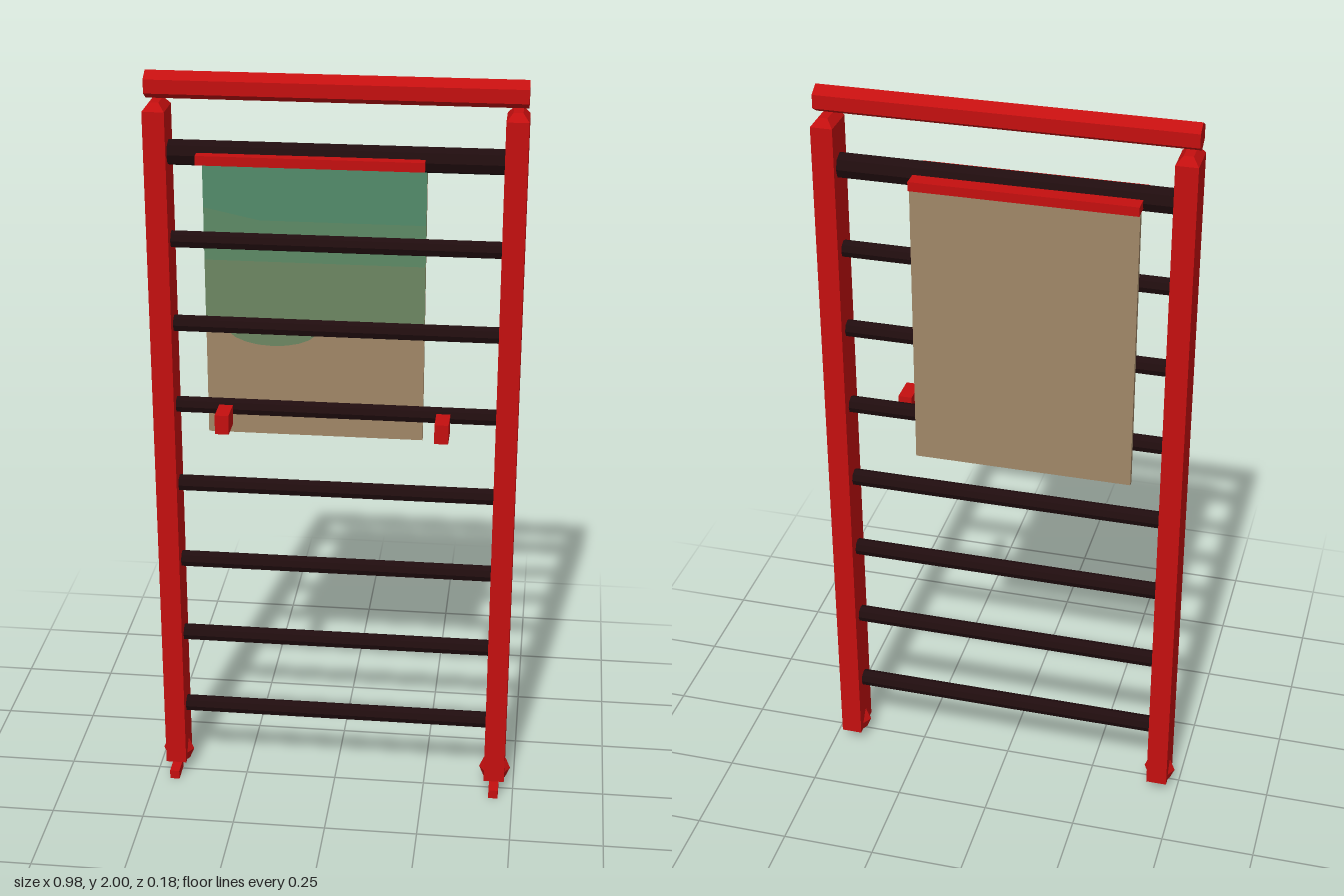
import * as THREE from 'three';

const mat = (name, color, side = THREE.FrontSide) => {
  const m = new THREE.MeshStandardMaterial({ color, side });
  m.name = name;
  return m;
};

export function createModel() {
  const model = new THREE.Group();
  model.name = 'wallBars';
  const red = mat('red', 0xc40f0f);
  const dark = mat('darkBrown', 0x200c0e);
  const tan = mat('tan', 0xa08767);
  const teal = mat('tealGreen', 0x528b6a);
  const mid = mat('leafGreen', 0x5d8a66);
  const olive = mat('oliveGreen', 0x6c8762);
  const Z = -0.022; // shared depth centre of the frame

  const add = (name, geometry, material, x, y, z, parent = model) => {
    const mesh = new THREE.Mesh(geometry, material);
    mesh.name = name;
    mesh.position.set(x, y, z);
    parent.add(mesh);
    return mesh;
  };
  const box = (name, w, h, d, material, x, y, z, parent) =>
    add(name, new THREE.BoxGeometry(w, h, d), material, x, y, z, parent);

  // Horizontal bar with a vertex on top
  const bar = (name, radius, length, sides, material, y) => {
    const g = new THREE.CylinderGeometry(radius, radius, length, sides).toNonIndexed();
    g.rotateY(Math.PI / 2).rotateZ(Math.PI / 2);
    g.computeVertexNormals();
    return add(name, g, material, 0, y, Z);
  };

  // Post with chamfered top: a box whose top ring is pulled inwards
  const postGeometry = () => {
    const g = new THREE.BoxGeometry(0.056, 1.89, 0.095, 1, 2, 1).toNonIndexed();
    const p = g.attributes.position;
    for (let i = 0; i < p.count; i++) {
      const y = p.getY(i);
      if (y > 0.5) {
        p.setX(i, p.getX(i) - Math.sign(p.getX(i)) * 0.016);
        p.setZ(i, p.getZ(i) - Math.sign(p.getZ(i)) * 0.016);
      } else if (Math.abs(y) < 0.1) p.setY(i, 0.925);
    }
    g.computeVertexNormals();
    return g;
  };

  // Side posts with faceted feet and floor tabs
  for (const s of [-1, 1]) {
    const side = new THREE.Group();
    side.name = s > 0 ? 'leftPost' : 'rightPost';
    model.add(side);
    add('post', postGeometry(), red, s * 0.447, 0.981, Z, side);
    const foot = new THREE.SphereGeometry(0.043, 6, 4).toNonIndexed();
    foot.computeVertexNormals();
    add('foot', foot, red, s * 0.447, 0.054, Z, side);
    box('floorTab', 0.026, 0.025, 0.065, red, s * 0.447, 0.0125, 0.0225, side);
    box('peg', 0.036, 0.052, 0.074, red, s * 0.283, 1.106, 0.053);
  }

  // Top rail and eight rungs, the highest one thicker
  bar('topRail', 0.035, 0.945, 6, red, 1.965);
  for (let i = 0; i < 8; i++) {
    bar('rung', i === 7 ? 0.033 : 0.0225, 0.85, 8, dark, 0.205 + i * 0.227);
  }

  // Back panel hung from a clamp strip
  const left = -0.344, right = 0.225, bottom = 1.02, top = 1.785;
  const cx = (left + right) / 2;
  box('panel', right - left, top - bottom, 0.016, tan, cx, (top + bottom) / 2, -0.075);
  box('panelClamp', right - left, 0.024, 0.131, red, cx, 1.79, -0.029);

  // Painted landscape on the panel front
  const paint = (name, points, material, z) => {
    const shape = new THREE.Shape(points.map(([x, y]) => new THREE.Vector2(x, y)));
    add(name, new THREE.ShapeGeometry(shape), material, 0, 0, z);
  };
  paint('paintedField', [[left, 1.32], [right, 1.32], [right, 1.5], [left, 1.5]], olive, -0.065);
  paint('paintedHills', [[left, 1.5], [right, 1.5], [right, 1.64], [left, 1.64]], mid, -0.065);
  paint('paintedSky', [[left, 1.64], [-0.2, 1.61], [right, 1.61], [right, top], [left, top]], teal, -0.064);
  const pond = [];
  for (let i = 0; i <= 10; i++) {
    const a = Math.PI * (1 + i / 10);
    pond.push([-0.17 + 0.12 * Math.cos(a), 1.32 + 0.05 * Math.sin(a)]);
  }
  paint('paintedPond', pond, olive, -0.064);

  return model;
}
